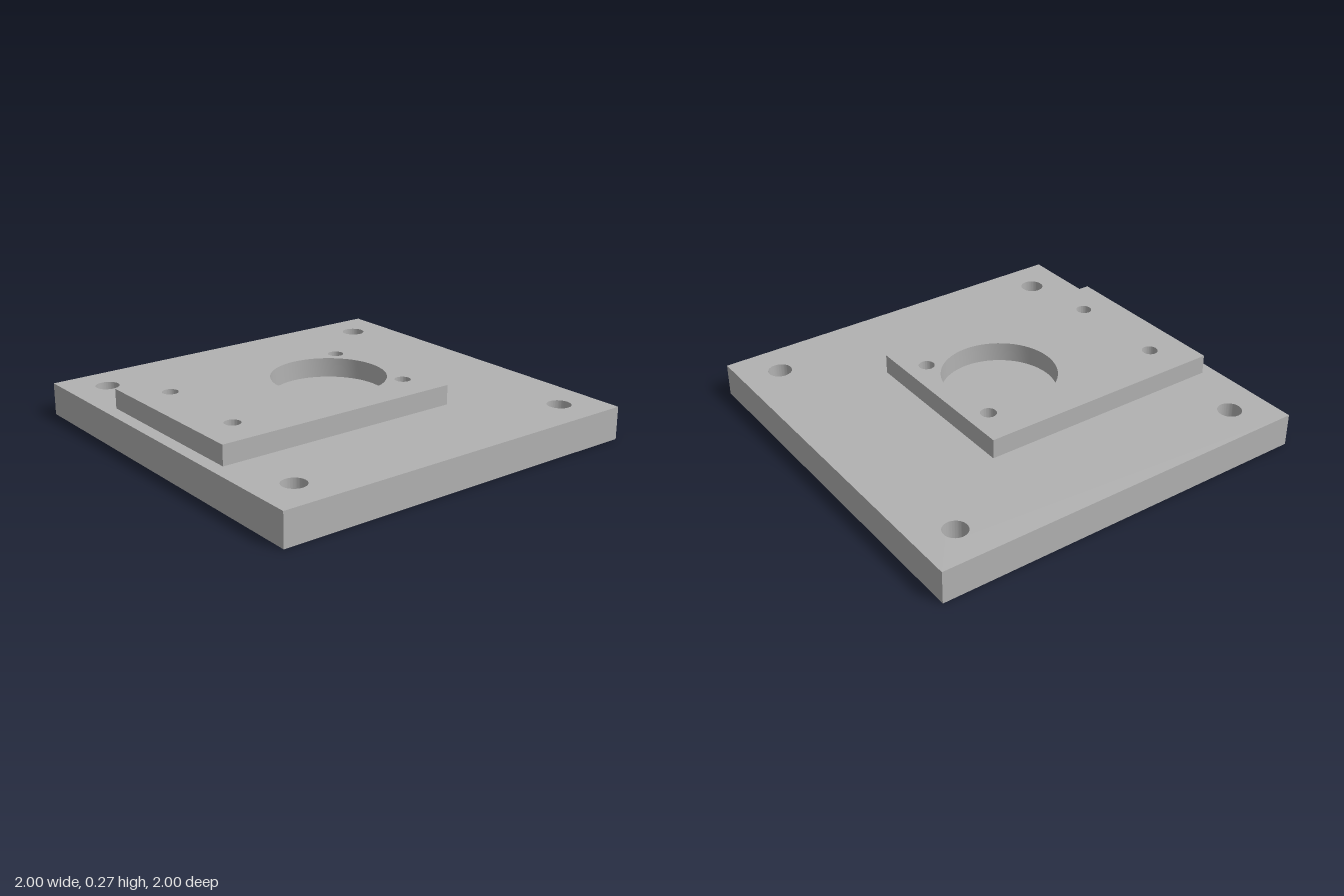
import * as THREE from 'three';
import { toCreasedNormals } from 'three/addons/utils/BufferGeometryUtils.js';

// Rectangular plate lying flat, with round holes given as [x, z, radius]
function plate(name, material, x0, x1, z0, z1, y0, y1, holes) {
  const shape = new THREE.Shape();
  shape.moveTo(x0, -z1).lineTo(x1, -z1).lineTo(x1, -z0).lineTo(x0, -z0).closePath();
  for (const [x, z, r] of holes) {
    const hole = new THREE.Path();
    hole.absarc(x, -z, r, 0, Math.PI * 2, true);
    shape.holes.push(hole);
  }
  const extruded = new THREE.ExtrudeGeometry(shape, { depth: y1 - y0, bevelEnabled: false, curveSegments: 32 });
  extruded.rotateX(-Math.PI / 2).translate(0, y0, 0);
  const mesh = new THREE.Mesh(toCreasedNormals(extruded, Math.PI / 6), material);
  mesh.name = name;
  return mesh;
}

export function createModel() {
  const group = new THREE.Group();
  group.name = 'mountingPlate';
  const grey = new THREE.MeshStandardMaterial({ color: 0xb2b2b2 });
  grey.name = 'grey metal';

  const cornerHoles = [];
  const padHoles = [[0, 0, 0.289]]; // large round recess
  for (const side of [-1, 1]) {
    for (const z of [-0.8, 0.8]) cornerHoles.push([side * 0.8, z, 0.06]);
    for (const z of [-0.253, 0.747]) padHoles.push([side * 0.267, z, 0.04]);
  }

  // Base with through holes, and the raised pad whose holes stop at the base
  group.add(plate('basePlate', grey, -1, 1, -1, 1, 0, 0.167, cornerHoles));
  group.add(plate('raisedPad', grey, -0.467, 0.467, -0.367, 0.933, 0.167, 0.267, padHoles));
  return group;
}
